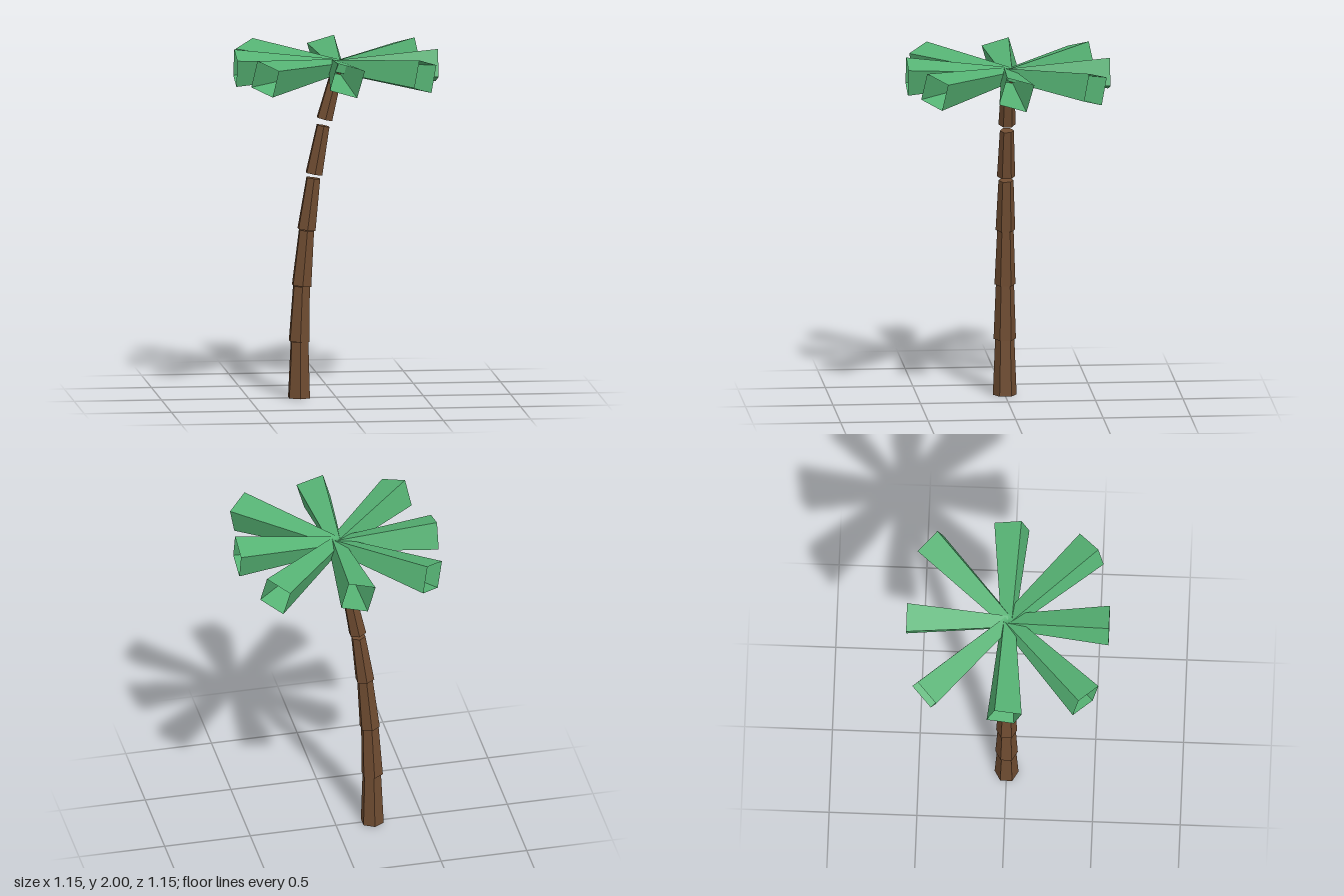
import * as THREE from 'three';

const bark = new THREE.MeshStandardMaterial({ color: 0x6f4c31, flatShading: true });
const leafGreen = new THREE.MeshStandardMaterial({ color: 0x56b374, flatShading: true, side: THREE.DoubleSide });

// Leaning trunk pieces: base x, base y, top x, top y, base radius, top radius
const TRUNK = [
  [-0.212, 0.0, -0.209, 0.323, 0.068, 0.055],
  [-0.211, 0.325, -0.198, 0.642, 0.064, 0.052],
  [-0.197, 0.645, -0.169, 0.962, 0.060, 0.047],
  [-0.169, 0.967, -0.130, 1.262, 0.056, 0.043],
  [-0.126, 1.286, -0.074, 1.562, 0.052, 0.040],
  [-0.066, 1.600, 0.004, 1.870, 0.049, 0.037],
];

function trunkSegment([x0, y0, x1, y1, r0, r1], i) {
  const length = Math.hypot(x1 - x0, y1 - y0);
  const mesh = new THREE.Mesh(new THREE.CylinderGeometry(r1, r0, length, 6), bark);
  mesh.position.set((x0 + x1) / 2, (y0 + y1) / 2, 0);
  mesh.rotation.z = -Math.atan2(x1 - x0, y1 - y0);
  mesh.name = `trunkSegment${i + 1}`;
  return mesh;
}

// Hollow four-sided leaf, narrow at the crown and open at the tip, twisted about its axis
function leaf(i) {
  const length = i % 2 ? 0.65 : 0.577;
  const geometry = new THREE.CylinderGeometry(0.114, 0.046, length, 4, 1, true, 0.503);
  geometry.translate(0, length / 2, 0).rotateZ(-Math.PI / 2);
  const mesh = new THREE.Mesh(geometry, leafGreen);
  mesh.rotation.y = (i * Math.PI) / 4;
  mesh.name = `leaf${i + 1}`;
  return mesh;
}

export function createModel() {
  const model = new THREE.Group();
  model.name = 'palmTree';

  const trunk = new THREE.Group();
  trunk.name = 'trunk';
  TRUNK.forEach((piece, i) => trunk.add(trunkSegment(piece, i)));

  // Crown of eight leaves
  const crown = new THREE.Group();
  crown.name = 'crown';
  crown.position.y = 1.9;
  for (let i = 0; i < 8; i++) crown.add(leaf(i));

  model.add(trunk, crown);
  return model;
}
